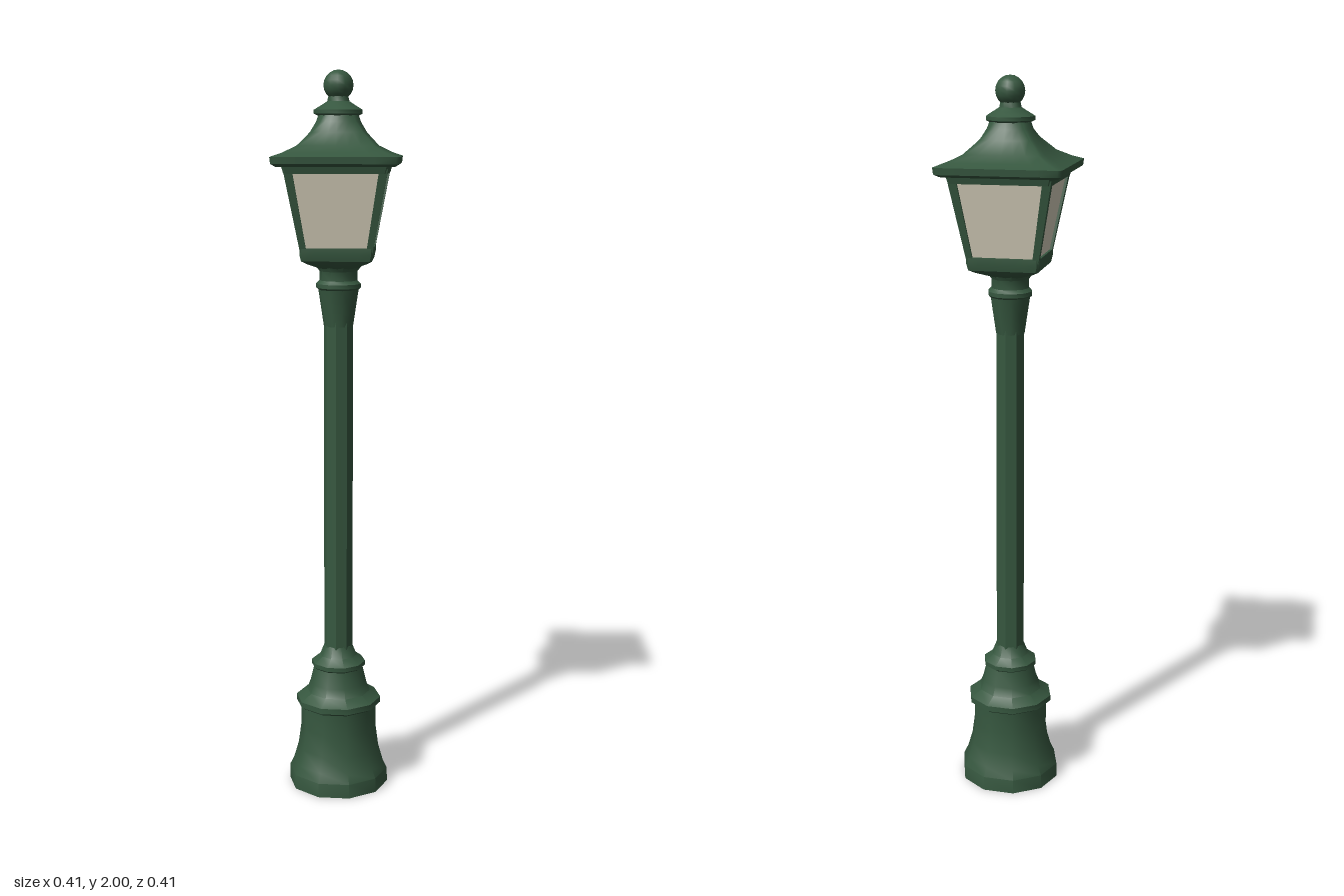
import * as THREE from 'three';
import { toCreasedNormals } from 'three/addons/utils/BufferGeometryUtils.js';

const green = new THREE.MeshStandardMaterial({ color: 0x36573f });
green.name = 'dark green iron';
const cream = new THREE.MeshStandardMaterial({ color: 0xd6cfbb });
cream.name = 'cream glass';

function part(parent, name, geometry, material = green) {
  const mesh = new THREE.Mesh(geometry, material);
  mesh.name = name;
  parent.add(mesh);
  return mesh;
}

// Turned part from [radius, y] points, bottom to top
function turned(points, sides, crease = 0.7) {
  const profile = points.map(([r, y]) => new THREE.Vector2(r, y));
  return toCreasedNormals(new THREE.LatheGeometry(profile, sides), crease);
}

// Square rings with clipped corners, [y, halfWidth, roundness], bottom to top
function squareLoft(rings, crease = 0.6) {
  const steps = [-0.94, -0.6, -0.3, 0, 0.3, 0.6, 0.94];
  const n = steps.length * 4;
  const positions = [], index = [];
  rings.forEach(([y, h, round = 0], i) => {
    for (let side = 0; side < 4; side++) {
      const c = Math.cos(side * Math.PI / 2), s = Math.sin(side * Math.PI / 2);
      for (const u of steps) {
        const k = h * THREE.MathUtils.lerp(1, 1 / Math.hypot(u, 1), round);
        positions.push(k * (u * c + s), y, k * (c - u * s));
      }
    }
    if (i === 0) return;
    for (let j = 0; j < n; j++) {
      const a = (i - 1) * n + j, b = (i - 1) * n + (j + 1) % n;
      index.push(a, b, b + n, a, b + n, a + n);
    }
  });
  const geometry = new THREE.BufferGeometry();
  geometry.setAttribute('position', new THREE.Float32BufferAttribute(positions, 3));
  geometry.setIndex(index);
  return toCreasedNormals(geometry, crease);
}

// Leaning corner post, its outer edge following the taper of the lantern
function cornerPost() {
  const geometry = new THREE.BoxGeometry(1, 1, 1);
  const p = geometry.attributes.position;
  for (let i = 0; i < p.count; i++) {
    const top = p.getY(i) > 0;
    const outer = top ? 0.137 : 0.096, inner = top ? 0.114 : 0.079;
    p.setXYZ(i, p.getX(i) > 0 ? outer : inner, top ? 1.745 : 1.525, p.getZ(i) > 0 ? outer : inner);
  }
  geometry.computeVertexNormals();
  return geometry;
}

export function createModel() {
  const lamp = new THREE.Group();
  lamp.name = 'streetLamp';

  // Stepped, flared base
  part(lamp, 'base', turned([
    [0, 0], [0.141, 0], [0.14, 0.04], [0.128, 0.065], [0.115, 0.11], [0.107, 0.17], [0.107, 0.232],
    [0.12, 0.24], [0.12, 0.256], [0.09, 0.275], [0.08, 0.3], [0.069, 0.345],
    [0.076, 0.35], [0.076, 0.362], [0.052, 0.38], [0.04, 0.41], [0, 0.41],
  ], 10));

  // Eight-sided pole
  const pole = part(lamp, 'pole', turned([[0.041, 0.38], [0.04, 1.34]], 8));
  pole.rotation.y = Math.PI / 8;

  // Flared capital under the lantern
  part(lamp, 'capital', turned([
    [0.04, 1.32], [0.046, 1.36], [0.055, 1.42], [0.061, 1.425], [0.061, 1.436],
    [0.052, 1.445], [0.052, 1.47], [0.064, 1.485], [0.064, 1.5],
  ], 10));

  // Square lantern, turned on the pole
  const lantern = new THREE.Group();
  lantern.name = 'lantern';
  lantern.rotation.y = -0.275;
  lamp.add(lantern);

  part(lantern, 'lanternFloor', squareLoft([
    [1.478, 0], [1.478, 0.055, 1], [1.494, 0.08], [1.502, 0.094], [1.52, 0.098], [1.537, 0.098], [1.537, 0],
  ]));
  part(lantern, 'glass', squareLoft([[1.53, 0.09], [1.745, 0.13]], 0.4), cream);
  for (let i = 0; i < 4; i++) {
    part(lantern, 'cornerPost', cornerPost()).rotation.y = i * Math.PI / 2;
  }
  part(lantern, 'topRail', squareLoft([[1.732, 0], [1.732, 0.136], [1.757, 0.143]]));

  // Swept roof that turns from square to round
  part(lantern, 'roof', squareLoft([
    [1.75, 0], [1.75, 0.155], [1.757, 0.167], [1.775, 0.169], [1.785, 0.142, 0.04],
    [1.803, 0.108, 0.12], [1.838, 0.076, 0.4], [1.865, 0.06, 0.75], [1.888, 0.052, 1],
  ], 0.8));

  // Collar, neck and ball on top
  part(lantern, 'collar', turned([
    [0.05, 1.878], [0.066, 1.886], [0.066, 1.896], [0.046, 1.908], [0.03, 1.918], [0.025, 1.94],
  ], 9, 0.75));
  part(lantern, 'finialBall', new THREE.SphereGeometry(0.04, 12, 10)).position.y = 1.96;

  return lamp;
}
